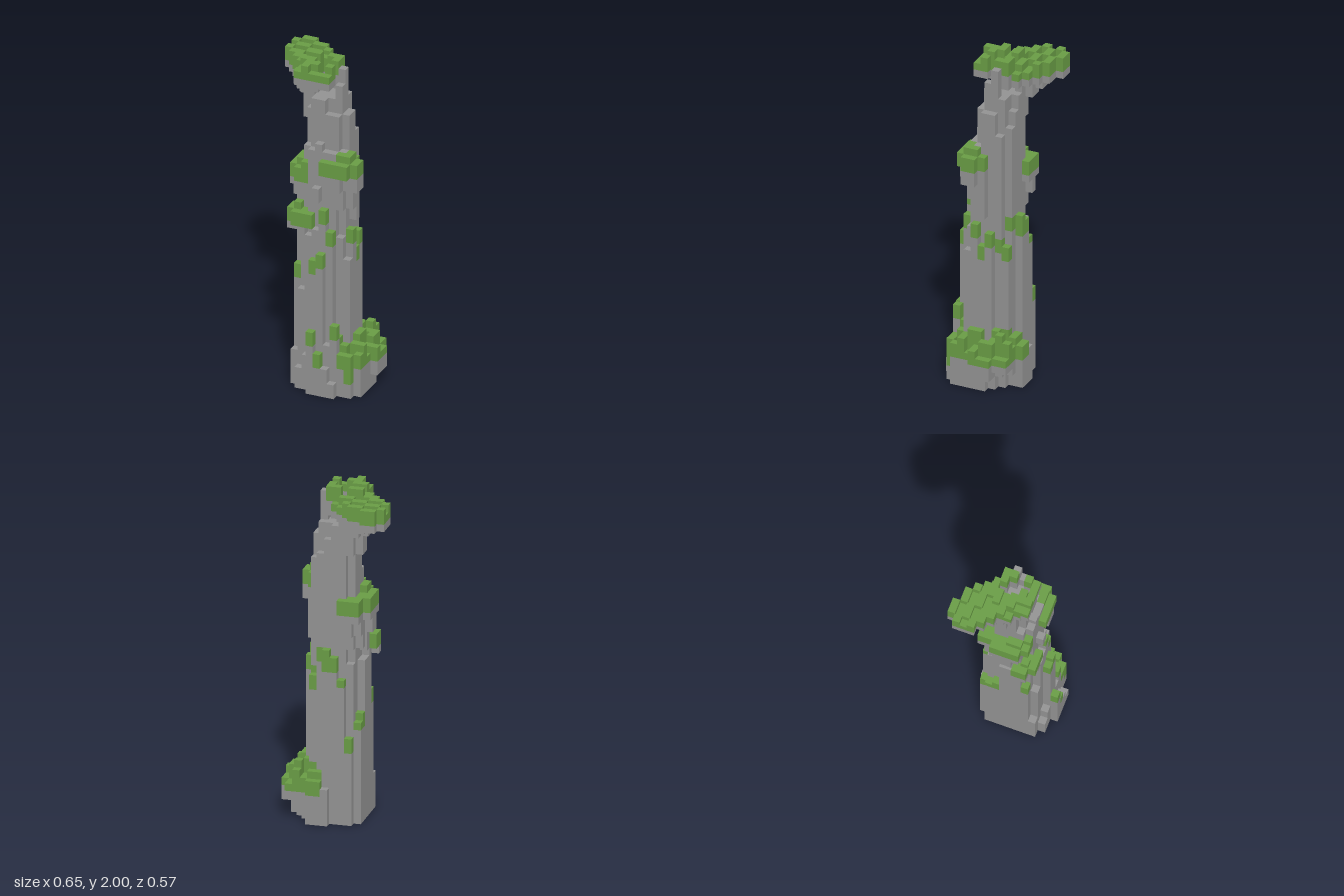
import * as THREE from 'three';
import { mergeGeometries } from 'three/addons/utils/BufferGeometryUtils.js';

const U = 2 / 46; // one block; columns are centred on whole x and z

export function createModel() {
  const group = new THREE.Group();
  const stone = new THREE.MeshStandardMaterial({ color: 0x939393 });
  stone.name = 'stone';
  const moss = new THREE.MeshStandardMaterial({ color: 0x699d45 });
  moss.name = 'moss';

  const cells = new Map();
  const key = (x, y, z) => `${x},${y},${z}`;
  let part = 'pillar';

  // One column from level y0 up to y1, mossy from level m upward
  const col = (x, z, y0, y1, m = 99) => {
    for (let y = y0; y < y1; y++) cells.set(key(x, y, z), { x, y, z, part, mat: y >= m ? moss : stone });
  };
  // A row of equal columns from xa to xb
  const row = (z, xa, xb, y0, y1, m) => {
    for (let x = xa; x <= xb; x++) col(x, z, y0, y1, m);
  };
  // Rows given as [z, xa, xb]
  const rows = (list, y0, y1, m) => list.forEach(([z, a, b]) => row(z, a, b, y0, y1, m));

  // Tapering shaft
  part = 'lowerShaft';
  rows([[-3, -1, 1], [-2, -2, 2], [-1, -2, 3], [0, -3, 4], [1, -3, 4], [2, -3, 4], [3, -2, 4], [4, -1, 2]], 0, 19);
  rows([[-3, 0, 1], [-2, -2, 2], [-1, -2, 3], [0, -3, 3], [1, -3, 3], [2, -3, 3], [3, -2, 3], [4, -1, 1]], 19, 22);
  col(-2, 4, 0, 14);
  part = 'upperShaft';
  rows([[-2, -1, 2], [-1, -2, 3], [0, -2, 3], [1, -2, 3], [2, -2, 3], [3, -1, 2]], 22, 34);
  rows([[-2, -1, 1], [-1, -2, 2], [0, -2, 3], [1, -2, 3], [2, -1, 2]], 34, 39);
  col(0, 3, 34, 35); col(2, -2, 34, 37); col(3, -1, 34, 36);
  part = 'neck';
  rows([[-2, -1, 0], [-1, -2, 2], [0, -2, 2], [1, -1, 2], [2, -1, 0]], 39, 41);
  col(2, 0, 41, 45); col(2, 1, 41, 43);

  // Foot stones and upright slabs
  part = 'foot';
  row(-4, 2, 3, 0, 6, 4); col(1, -4, 0, 5);
  col(-3, 4, 0, 5); col(-2, 5, 0, 3); col(-1, 5, 0, 5);
  col(1, 6, 0, 6, 4); col(2, 6, 0, 4); col(3, 6, 0, 2); col(0, 6, 0, 9, 7);
  col(2, 5, 0, 7); col(3, 4, 0, 8, 7); col(3, 5, 0, 10, 8);
  col(3, -2, 0, 8, 6); col(2, -3, 0, 7, 5); col(3, -3, 0, 6, 4);

  // Mossy ledge around the left foot, stepping down outward and undercut towards the back
  part = 'footLedge';
  [[-3, 3, 6], [-2, 3, 6], [-1, 4, 7], [0, 5, 7], [1, 5, 7], [2, 5, 6], [3, 5, 6], [4, 4, 6], [5, 4, 4]].forEach(([z, a, b]) => {
    for (let x = a; x <= b; x++) {
      const undercut = z < 0 ? Math.min(3, Math.max(0, 2 * (x - z - 6))) : 0;
      const bottom = x === 7 ? 2 : undercut;
      const jitter = (x * 2 + z * 5 + 60) % 4 % 3;
      const top = Math.max(5, Math.min(8, 13 - x) - jitter - (Math.abs(z - 0.5) > 3 ? 1 : 0));
      col(x, z, bottom, top, 4);
    }
  });
  col(5, 5, 0, 6, 2);

  // Slabs with mossy tips leaning on the shaft: x, z, bottom, top, moss level
  part = 'mossySlabs';
  [[0, 5, 0, 19, 17], [1, 5, 0, 20, 18], [-3, 3, 0, 17, 15], [2, 4, 19, 23, 21], [1, 4, 22, 26, 24],
    [4, 2, 19, 23, 21], [4, 1, 18, 20, 18], [4, 0, 19, 22, 20], [3, -1, 19, 21, 19], [3, -2, 8, 20, 18],
    [1, -3, 20, 24, 21], [0, -3, 20, 23, 21], [2, -2, 20, 24, 22], [-1, -3, 19, 20, 19], [-2, -3, 0, 12, 10],
    [-3, -2, 0, 14, 13], [-3, -1, 0, 15, 13], [0, 4, 22, 23, 99]].forEach((s) => col(...s));

  // Front left shelf
  part = 'lowShelf';
  rows([[2, -4, -3], [3, -4, -2], [4, -3, -1]], 23, 25, 23);
  rows([[2, -3, -3], [3, -4, -2], [4, -2, -2]], 22, 23);
  col(-3, 3, 25, 26, 25);

  // Shelf wrapping the back and the right side
  part = 'sideShelf';
  rows([[-3, -3, -1], [-2, -3, -2], [-1, -4, -3], [0, -4, -3], [1, -4, -3], [2, -4, -3], [3, -3, -2]], 29, 31, 29);
  rows([[-3, -3, -1], [-2, -3, -2], [-1, -4, -3], [0, -4, -3], [1, -4, -3], [2, -4, -3], [3, -2, -2]], 28, 29);
  rows([[-3, -2, -2], [-2, -3, -2], [-1, -3, -3], [0, -4, -3], [1, -4, -3], [2, -3, -3]], 26, 28);
  row(1, -3, -3, 23, 26); col(-3, -1, 24, 26); col(-2, -2, 24, 26);
  col(-3, 1, 31, 32, 31); col(-3, 2, 31, 32, 31); col(-2, 3, 31, 32, 31);

  // Front balcony
  part = 'balcony';
  rows([[1, 4, 4], [2, 4, 5], [3, 3, 5], [4, 1, 4]], 31, 33, 31);
  rows([[1, 4, 4], [2, 4, 5], [3, 3, 5], [4, 2, 3]], 29, 31);
  rows([[1, 4, 4], [2, 4, 4], [3, 3, 3]], 26, 29);
  col(4, 1, 24, 26);
  col(3, 3, 33, 34, 33); col(4, 2, 33, 34, 33); col(4, 3, 33, 34, 33); col(0, 4, 27, 29);

  // Overhanging crown with an uneven mossy top
  part = 'crown';
  const arm = [[-6, -6, -5], [-5, -7, -3], [-4, -7, -2], [-3, -7, -1], [-2, -6, 0], [-1, -5, -2], [0, -4, -2], [1, -4, -2], [2, -3, -1]];
  arm.forEach(([z, a, b]) => {
    for (let x = a; x <= b; x++) col(x, z, 42, (Math.floor(x / 2) * 3 + z * 2 + 60) % 5 < 2 ? 44 : 45, 43);
  });
  rows([[-4, -4, -3], [-3, -5, -2], [-2, -5, -1], [-1, -4, -2], [0, -4, -2], [1, -3, -2]], 41, 42);
  rows([[-3, -3, -2], [-2, -4, -1], [-1, -4, -2], [0, -3, -2]], 40, 41);
  rows([[-2, -2, -2], [-1, -3, -3], [0, -3, -3]], 37, 40);
  row(3, -3, 1, 43, 45, 44);
  row(-1, 0, 1, 42, 46, 44); col(1, 0, 42, 46, 44); col(1, 2, 43, 46, 44);
  rows([[-1, -3, -2], [1, -3, -2], [2, -2, -1], [3, -2, -2]], 44, 46, 44);

  // Draw only the exposed block faces, gathered by part and colour
  const sides = [[1, 0, 0], [-1, 0, 0], [0, 1, 0], [0, -1, 0], [0, 0, 1], [0, 0, -1]].map((d) => {
    const n = new THREE.Vector3(...d);
    const face = new THREE.PlaneGeometry(U, U);
    face.applyQuaternion(new THREE.Quaternion().setFromUnitVectors(new THREE.Vector3(0, 0, 1), n));
    return { d, face: face.translate(d[0] * U / 2, d[1] * U / 2, d[2] * U / 2) };
  });
  const bins = new Map();
  for (const c of cells.values()) {
    const name = c.part + (c.mat === moss ? 'Moss' : 'Stone');
    if (!bins.has(name)) bins.set(name, { mat: c.mat, faces: [] });
    for (const { d, face } of sides) {
      if (cells.has(key(c.x + d[0], c.y + d[1], c.z + d[2]))) continue;
      bins.get(name).faces.push(face.clone().translate(c.x * U, (c.y + 0.5) * U, c.z * U));
    }
  }
  for (const [name, { mat, faces }] of bins) {
    if (!faces.length) continue;
    const mesh = new THREE.Mesh(mergeGeometries(faces), mat);
    mesh.name = name;
    group.add(mesh);
  }
  return group;
}
